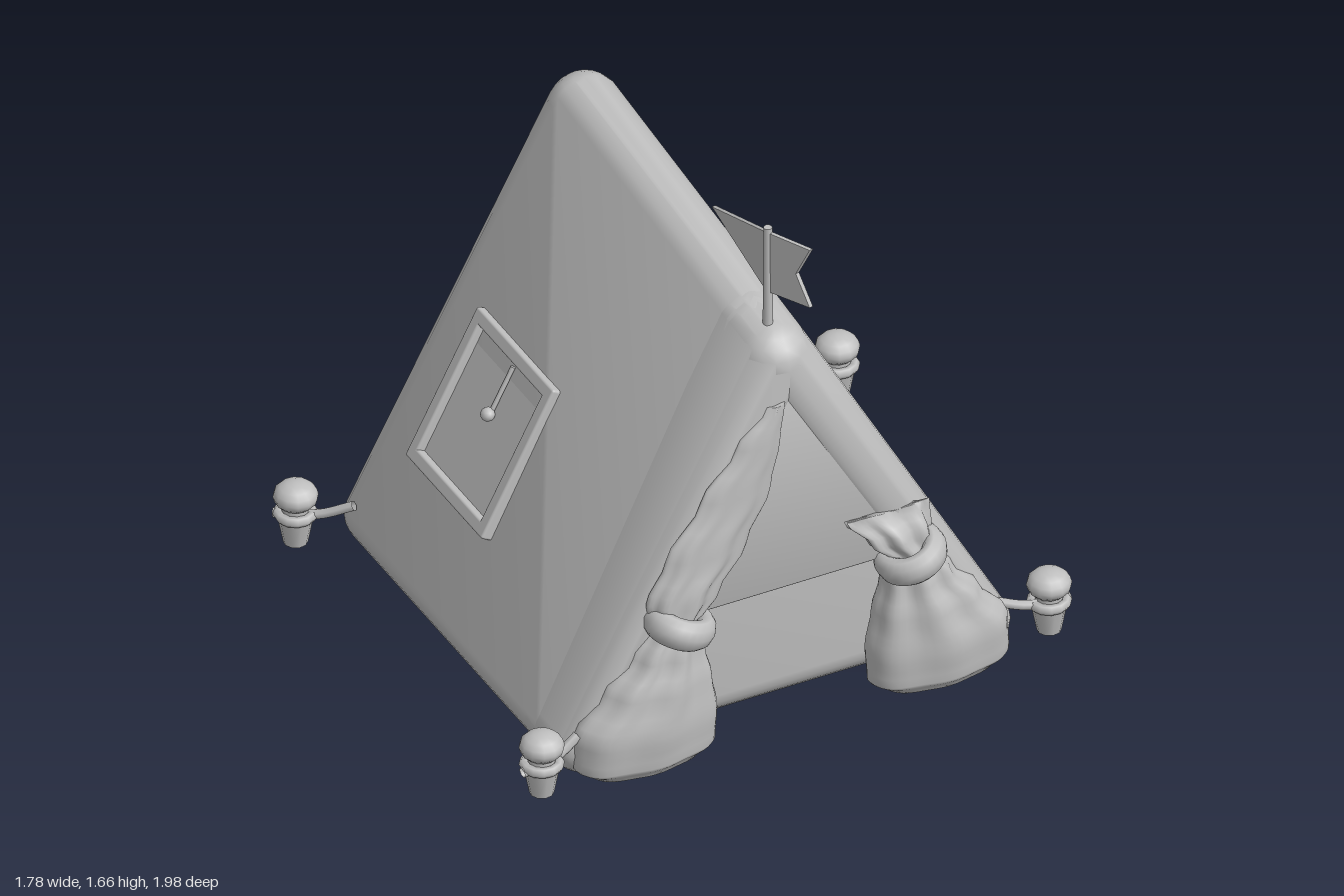
import * as THREE from 'three';
import { toCreasedNormals, mergeVertices } from 'three/addons/utils/BufferGeometryUtils.js';
import { ConvexGeometry } from 'three/addons/geometries/ConvexGeometry.js';
import { RoundedBoxGeometry } from 'three/addons/geometries/RoundedBoxGeometry.js';

const canvas = new THREE.MeshStandardMaterial({ color: 0xbfbfbf, side: THREE.DoubleSide });
canvas.name = 'light grey';

function add(parent, name, geometry, x = 0, y = 0, z = 0) {
  const mesh = new THREE.Mesh(geometry, canvas);
  mesh.name = name;
  mesh.position.set(x, y, z);
  parent.add(mesh);
  return mesh;
}

// Rounded solid: the hull around a set of balls [x, y, z, radius]
function hull(balls) {
  const points = [];
  for (const [x, y, z, r] of balls) {
    for (let i = 0; i <= 10; i++) {
      const a = Math.PI * i / 10, n = i % 10 ? 16 : 1;
      for (let j = 0; j < n; j++) {
        const b = 2 * Math.PI * j / n;
        points.push(new THREE.Vector3(
          x + r * Math.sin(a) * Math.cos(b), y + r * Math.cos(a), z + r * Math.sin(a) * Math.sin(b)));
      }
    }
  }
  return toCreasedNormals(new ConvexGeometry(points), 0.6);
}

// Draped cloth: rings of [y, z, half width, half depth, fold depth], mirrored by side
function drape(rings, side, cx) {
  const n = 48, pos = [], idx = [];
  for (const [y, z, w, d, f] of rings) {
    for (let j = 0; j < n; j++) {
      const a = 2 * Math.PI * j / n;
      const fold = 1 + f * Math.cos(a * 7 + y * 2);
      pos.push(cx + d * fold * Math.cos(a), y, side * (z + w * (1 + (fold - 1) * 0.3) * Math.sin(a)));
    }
  }
  const quad = (a, b, c, d) => side > 0 ? idx.push(a, c, b, b, c, d) : idx.push(a, b, c, b, d, c);
  for (let i = 0; i < rings.length - 1; i++) {
    for (let j = 0; j < n; j++) {
      const k = (j + 1) % n;
      quad(i * n + j, i * n + k, (i + 1) * n + j, (i + 1) * n + k);
    }
  }
  // close the bottom and the top
  for (const [end, dir] of [[0, side], [rings.length - 1, -side]]) {
    const s = end * n;
    for (let j = 1; j < n - 1; j++) {
      if (dir > 0) idx.push(s, s + j, s + j + 1);
      else idx.push(s, s + j + 1, s + j);
    }
  }
  const g = new THREE.BufferGeometry();
  g.setAttribute('position', new THREE.Float32BufferAttribute(pos, 3));
  g.setIndex(idx);
  g.computeVertexNormals();
  return g;
}

// Square window frame facing +z, with a pane set inside
function windowFrame(name, w, h, bar, depth) {
  const g = new THREE.Group();
  g.name = name;
  for (const s of [-1, 1]) {
    add(g, 'frameUpright', new RoundedBoxGeometry(bar, h, depth, 2, 0.008), s * (w - bar) / 2, 0, 0);
    add(g, 'frameRail', new RoundedBoxGeometry(w, bar, depth, 2, 0.008), 0, s * (h - bar) / 2, 0);
  }
  add(g, 'pane', new THREE.BoxGeometry(w - bar, h - bar, 0.008), 0, 0, -0.005);
  return g;
}

function smoothSpline(rows, steps) {
  const out = [];
  for (let i = 0; i < rows.length - 1; i++) {
    for (let k = 0; k < steps; k++) {
      const t = k / steps, e = t * t * (3 - 2 * t);
      out.push(rows[i].map((v, c) => v + (rows[i + 1][c] - v) * (c ? e : t)));
    }
  }
  out.push(rows[rows.length - 1]);
  return out;
}

export function createModel() {
  const model = new THREE.Group();
  model.name = 'tent';
  const tent = new THREE.Group();
  tent.name = 'tentBody';
  tent.rotation.y = -0.165;
  model.add(tent);

  // Padded prism with a ridge that drops towards the doorway
  add(tent, 'shell', hull([
    [-0.61, 0.09, 0.64, 0.09], [-0.61, 0.09, -0.64, 0.09], [-0.55, 1.33, 0, 0.11],
    [0.54, 0.09, 0.64, 0.09], [0.54, 0.09, -0.64, 0.09], [0.52, 1.231, 0.01, 0.11]]));
  // Thick rims on both sides of the doorway
  for (const s of [-1, 1]) {
    add(tent, 'doorRim', hull([
      [0.48, 0.09, s * 0.64, 0.09], [0.64, 0.09, s * 0.64, 0.09],
      [0.48, 1.235, 0.01, 0.11], [0.62, 1.22, 0.01, 0.11]]));
  }
  // Cloth panel above the recessed doorway
  add(tent, 'upperDoorPanel', hull([
    [0.55, 0.475, 0.44, 0.015], [0.55, 0.475, -0.44, 0.015], [0.7, 0.475, 0.44, 0.015],
    [0.7, 0.475, -0.44, 0.015], [0.55, 1.2, 0.01, 0.015], [0.7, 1.2, 0.01, 0.015]]));

  // Tied curtains
  const skirt = [
    [0.01, 0.47, 0.17, 0.07, 0.03], [0.05, 0.47, 0.222, 0.095, 0.04], [0.16, 0.465, 0.222, 0.105, 0.06],
    [0.28, 0.43, 0.165, 0.095, 0.1], [0.38, 0.4, 0.11, 0.075, 0.14], [0.47, 0.375, 0.075, 0.055, 0.16]];
  const longTop = [
    [0.55, 0.35, 0.11, 0.055, 0.16], [0.68, 0.275, 0.125, 0.045, 0.12], [0.85, 0.18, 0.11, 0.035, 0.08],
    [1.0, 0.11, 0.07, 0.03, 0.04], [1.12, 0.055, 0.03, 0.02, 0]];
  const shortTop = [[0.54, 0.34, 0.1, 0.05, 0.25], [0.63, 0.3, 0.13, 0.01, 0.25]];
  for (const s of [-1, 1]) {
    const rows = skirt.concat(s > 0 ? longTop : shortTop);
    add(tent, 'curtain', drape(smoothSpline(rows, 4), s, 0.72));
    const tie = add(tent, 'curtainTie', new THREE.TorusGeometry(0.075, 0.034, 10, 28), 0.735, 0.47, s * 0.37);
    tie.geometry.rotateX(Math.PI / 2).scale(1, 1.4, 1);
    tie.rotation.x = -s * 0.35;
  }

  // Window on the sloping side, with a hanging cord
  const side = windowFrame('sideWindow', 0.47, 0.5, 0.042, 0.05);
  side.position.set(-0.22, 0.6, 0.49);
  side.rotation.x = -0.483;
  add(side, 'cord', new THREE.CylinderGeometry(0.008, 0.008, 0.15, 6), 0.01, 0.12, 0.01);
  add(side, 'cordKnob', new THREE.IcosahedronGeometry(0.022, 1), 0.01, 0.035, 0.018);
  tent.add(side);

  // Window in the end wall, with a centre bar and a small curtain
  const end = windowFrame('endWindow', 0.46, 0.48, 0.06, 0.07);
  end.position.set(-0.705, 0.6, -0.02);
  end.rotation.set(0, -Math.PI / 2, 0);
  add(end, 'centreBar', new THREE.BoxGeometry(0.03, 0.38, 0.03), 0.02, 0, 0);
  add(end, 'smallCurtain', new RoundedBoxGeometry(0.1, 0.2, 0.025, 2, 0.01), -0.12, -0.07, 0.005);
  tent.add(end);

  // Corner pegs with a round cap, a collar and a strap to the tent
  const pegs = [[-0.82, 0.73, -0.69, 0.62], [0.58, 0.91, 0.59, 0.79], [0.81, -0.72, 0.78, -0.55], [-0.475, -0.935, -0.39, -0.78]];
  for (const [x, z, tx, tz] of pegs) {
    const peg = new THREE.Group();
    peg.name = 'peg';
    peg.position.set(x, 0, z);
    model.add(peg);
    add(peg, 'pegCap', new THREE.SphereGeometry(0.066, 12, 8).scale(1, 0.68, 1), 0, 0.175, 0);
    add(peg, 'pegNeck', new THREE.CylinderGeometry(0.04, 0.04, 0.08, 10), 0, 0.12, 0);
    add(peg, 'pegStake', new THREE.CylinderGeometry(0.052, 0.036, 0.085, 10), 0, 0.058, 0);
    add(peg, 'pegCollar', new THREE.TorusGeometry(0.05, 0.016, 6, 12).rotateX(Math.PI / 2), 0, 0.115, 0);
    const path = new THREE.CatmullRomCurve3([
      new THREE.Vector3(x - tx, 0, z - tz).setLength(0.065).setY(0.105),
      new THREE.Vector3((tx - x) * 0.4, 0.12, (tz - z) * 0.4),
      new THREE.Vector3(tx - x, 0.165, tz - z)]);
    add(peg, 'pegStrap', new THREE.TubeGeometry(path, 8, 0.016, 6));
  }

  // Pennant with a notched tail, bent at the pole
  add(model, 'flagPole', new THREE.CylinderGeometry(0.013, 0.015, 0.38, 10), 0.605, 1.47, 0.125);
  const cloths = [
    [[-0.355, 1.5], [0, 1.44], [0, 1.645]],
    [[0, 1.44], [0.14, 1.44], [0.095, 1.54], [0.14, 1.64], [0, 1.645]]];
  for (const points of cloths) {
    const shape = new THREE.Shape(points.map(p => new THREE.Vector2(...p)));
    const g = new THREE.ExtrudeGeometry(shape, { depth: 0.012, bevelEnabled: false });
    const p = g.attributes.position;
    for (let i = 0; i < p.count; i++) {
      const x = p.getX(i);
      p.setZ(i, p.getZ(i) - 0.006 + (x < 0 ? x * 0.21 : -x * 0.35));
    }
    g.computeVertexNormals();
    add(model, 'flag', g, 0.605, 0, 0.125);
  }
  return model;
}
